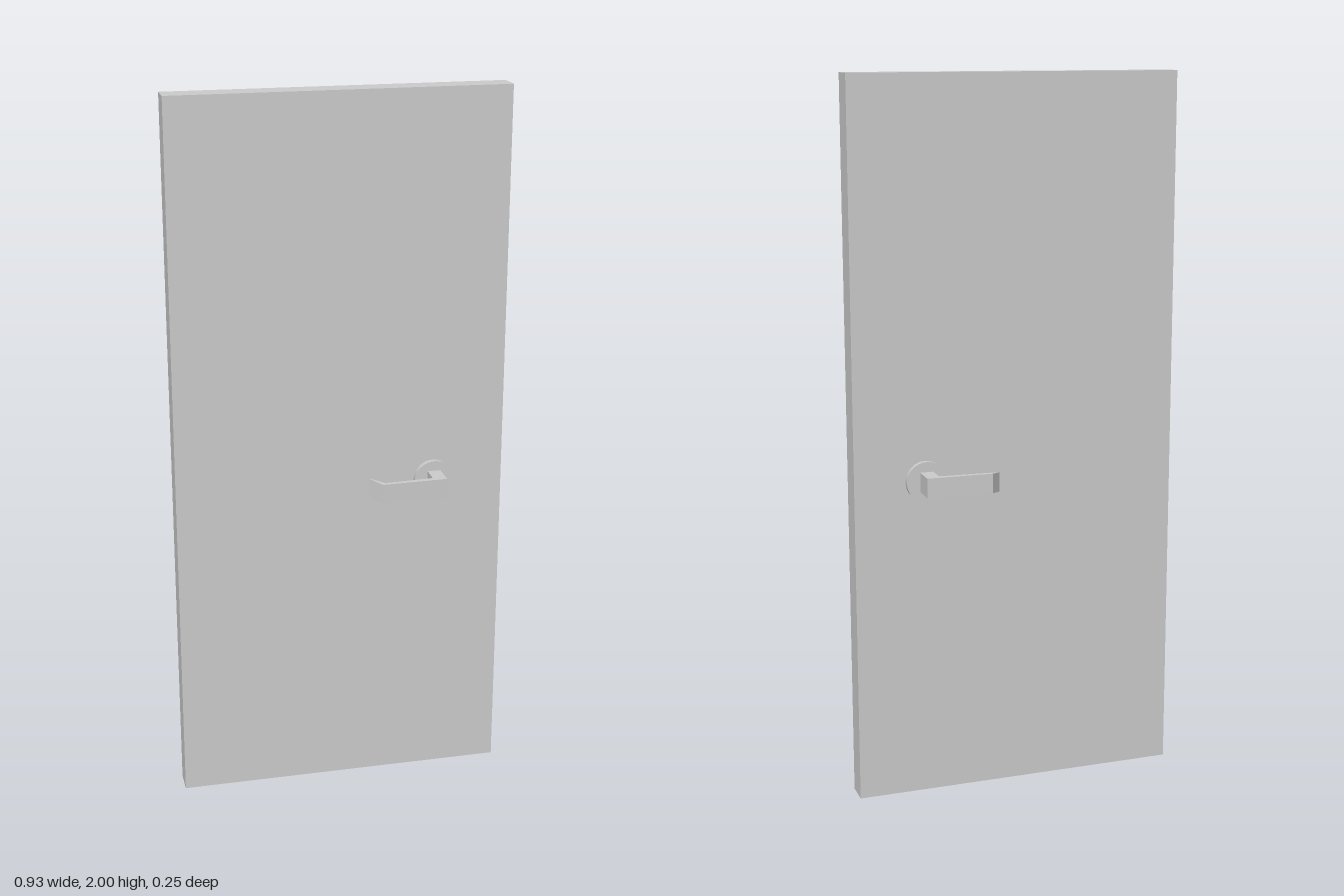
import * as THREE from 'three';

const material = new THREE.MeshStandardMaterial({ color: 0xcccccc });

function part(name, geometry) {
  const mesh = new THREE.Mesh(geometry, material);
  mesh.name = name;
  return mesh;
}

// Neck and lever as one bent plan outline (x, z), extruded to the lever's height
function leverGeometry() {
  const height = 0.055;
  const outline = [
    [0.245, 0.035], [0.282, 0.035], [0.282, 0.118], [0.098, 0.1235],
    [0.068, 0.088], [0.07, 0.087], [0.107, 0.111], [0.245, 0.103],
  ];
  const shape = new THREE.Shape(outline.map(([x, z]) => new THREE.Vector2(x, z)));
  const geo = new THREE.ExtrudeGeometry(shape, { depth: height, bevelEnabled: false });
  geo.rotateX(Math.PI / 2).translate(0, height / 2, 0);
  // The bent tip rises slightly
  const pos = geo.attributes.position;
  for (let i = 0; i < pos.count; i++) {
    if (pos.getX(i) < 0.08) pos.setY(i, pos.getY(i) + 0.007);
  }
  geo.computeVertexNormals();
  return geo;
}

// Round rose plate and lever for one face of the door
function handle(name) {
  const group = new THREE.Group();
  group.name = name;
  const rose = part('rose', new THREE.CylinderGeometry(0.056, 0.056, 0.0145, 32));
  rose.rotation.x = Math.PI / 2;
  rose.position.set(0.264, 0, 0.0418);
  group.add(rose, part('lever', leverGeometry()));
  group.position.y = 0.907;
  return group;
}

export function createModel() {
  const model = new THREE.Group();
  model.name = 'door';

  const panel = part('panel', new THREE.BoxGeometry(0.928, 2, 0.07));
  panel.position.y = 1;

  // The back handle is the front one turned half a turn about x
  const front = handle('frontHandle');
  const back = handle('backHandle');
  back.rotation.x = Math.PI;

  model.add(panel, front, back);
  return model;
}
